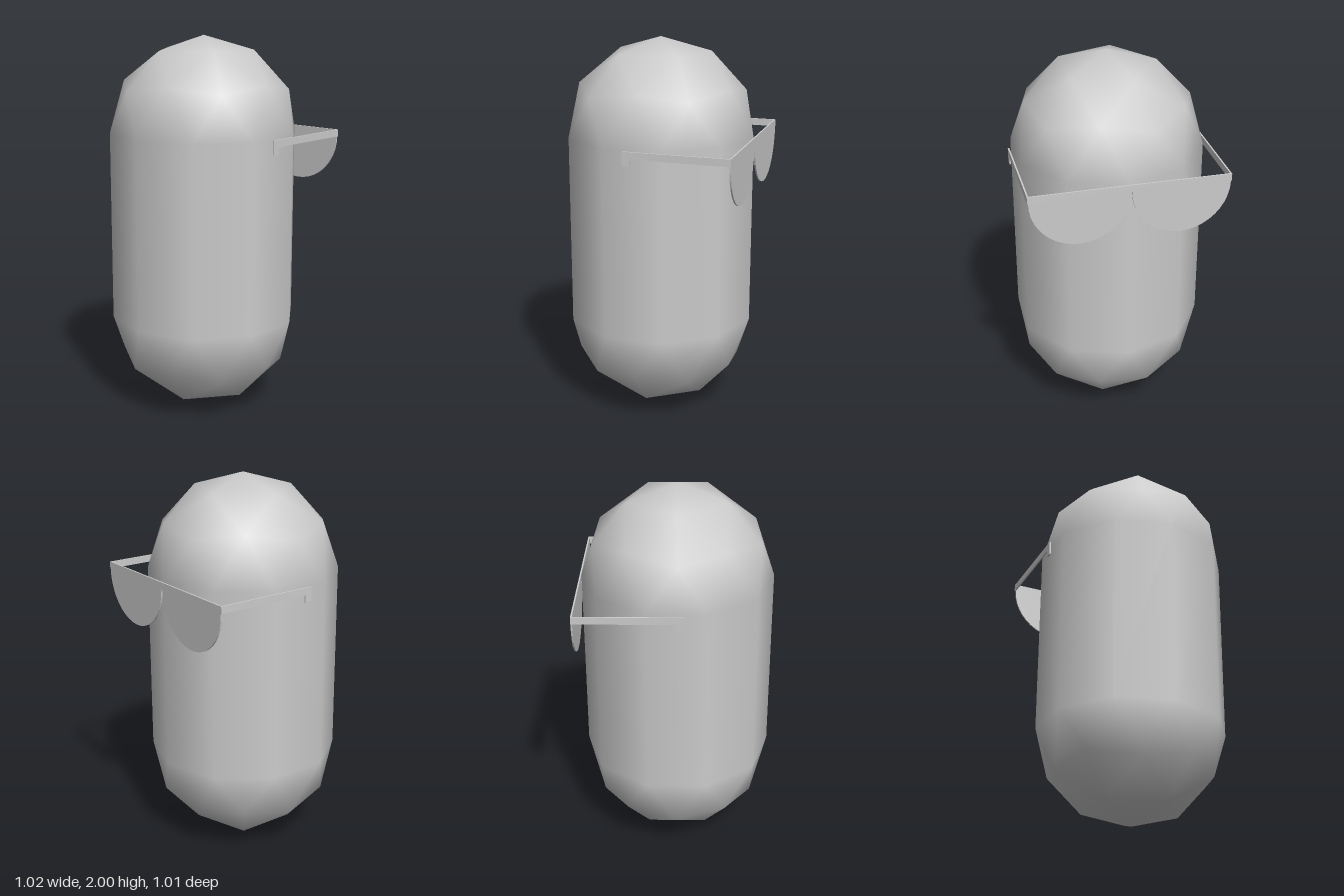
import * as THREE from 'three';

const RADIUS = 0.5;
const HALF = 0.5; // half the length of the straight body section
const BODY_Z = 0.004;

const grey = () => new THREE.MeshStandardMaterial({ color: 0xcccccc });

function addMesh(parent, name, geometry, material) {
  const mesh = new THREE.Mesh(geometry, material);
  mesh.name = name;
  parent.add(mesh);
  return mesh;
}

// Icosphere with a vertex at each pole, split at the equator and pulled apart
function capsuleEnds() {
  const geo = new THREE.IcosahedronGeometry(RADIUS, 1);
  geo.rotateZ(Math.atan(2 / (1 + Math.sqrt(5))));
  const pos = geo.attributes.position;
  for (let i = 0; i < pos.count; i += 3) {
    const middle = pos.getY(i) + pos.getY(i + 1) + pos.getY(i + 2);
    const shift = Math.sign(middle) * HALF;
    for (let j = i; j < i + 3; j++) pos.setY(j, pos.getY(j) + shift);
  }
  return geo;
}

// Rim bar with two half-round lenses in one thin plate
function lensPlate() {
  const s = new THREE.Shape();
  s.moveTo(-0.508, 1.5);
  s.lineTo(-0.508, 1.463);
  for (const x of [-0.254, 0.254]) s.absarc(x, 1.463, 0.25, Math.PI, 2 * Math.PI, false);
  s.lineTo(0.508, 1.463);
  s.lineTo(0.508, 1.5);
  const geo = new THREE.ExtrudeGeometry(s, { depth: 0.008, bevelEnabled: false, curveSegments: 10 });
  return geo.translate(0, 0, -0.504);
}

// Side arm with a small hook at its end, drawn in the z-y plane
function armGeometry() {
  const outline = [[-0.504, 1.463], [0.005, 1.463], [0.005, 1.425], [0.043, 1.425], [0.043, 1.5], [-0.504, 1.5]];
  const s = new THREE.Shape(outline.map(([z, y]) => new THREE.Vector2(z, y)));
  const geo = new THREE.ExtrudeGeometry(s, { depth: 0.008, bevelEnabled: false });
  return geo.rotateY(-Math.PI / 2).translate(0.004, 0, 0);
}

export function createModel() {
  const model = new THREE.Group();
  model.name = 'capsuleWithGlasses';

  // Body: ten-sided tube between two rounded ends
  const body = new THREE.Group();
  body.name = 'body';
  body.position.set(0, RADIUS + HALF, BODY_Z);
  model.add(body);
  const bodyMaterial = grey();
  addMesh(body, 'roundedEnds', capsuleEnds(), bodyMaterial);
  addMesh(body, 'bodyTube', new THREE.CylinderGeometry(RADIUS, RADIUS, 2 * HALF, 10, 1, true), bodyMaterial);

  // Glasses, worn on the back of the body
  const glasses = new THREE.Group();
  glasses.name = 'glasses';
  model.add(glasses);
  const glassesMaterial = grey();
  addMesh(glasses, 'lenses', lensPlate(), glassesMaterial);
  for (const [name, x] of [['leftArm', 0.504], ['rightArm', -0.504]]) {
    addMesh(glasses, name, armGeometry(), glassesMaterial).position.x = x;
  }
  return model;
}
